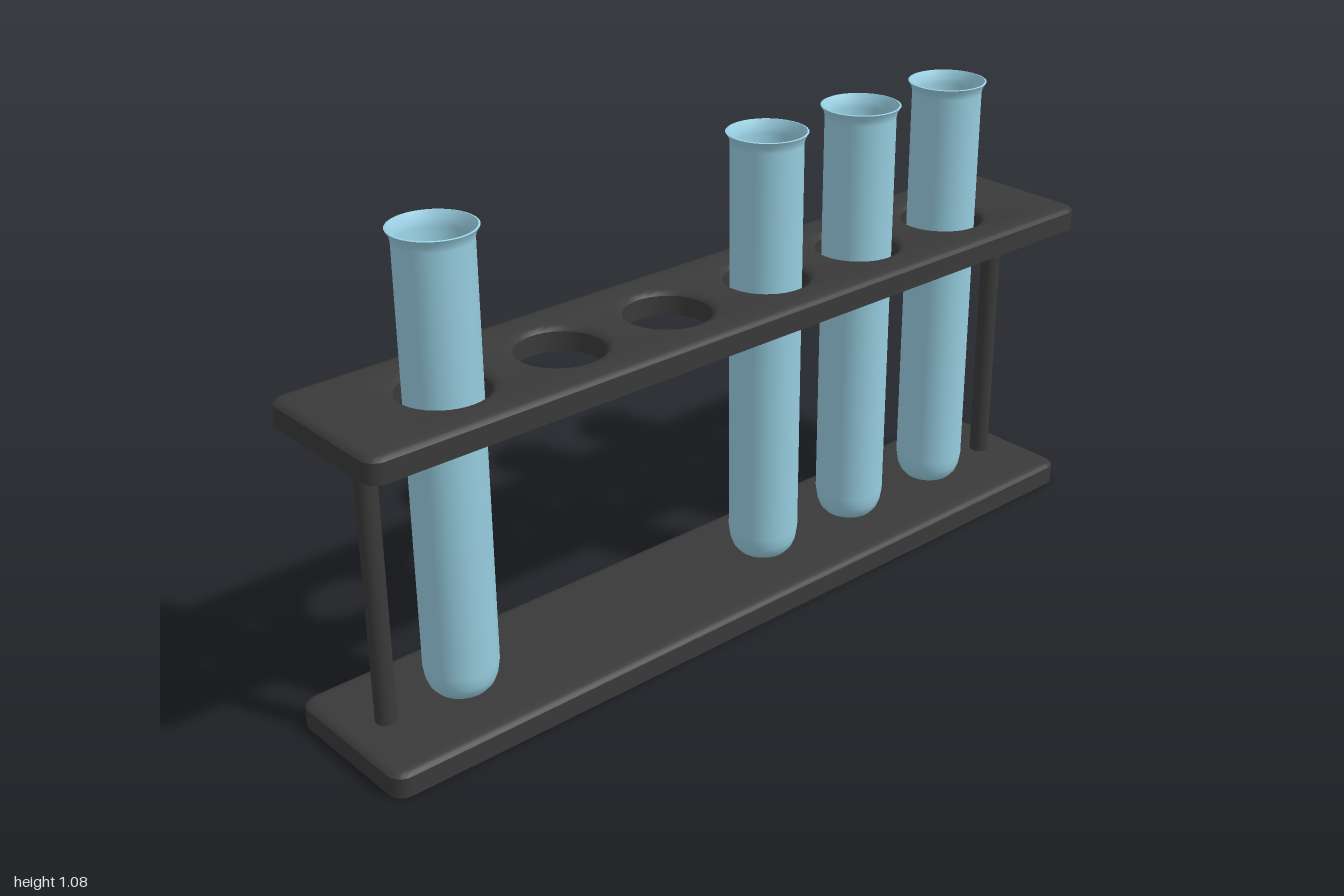
import * as THREE from 'three';
import { mergeGeometries, toCreasedNormals } from 'three/addons/utils/BufferGeometryUtils.js';

const HOLES = [-0.72, -0.435, -0.15, 0.135, 0.42, 0.705];
const FILLED = [0, 3, 4, 5];
const HOLE_Z = 0.004;

// Rounded rectangle outline, drawn counter-clockwise and shrunk by inset
function outline(inset) {
  const w = 1 - inset, d = 0.182 - inset, r = 0.034 - inset * 0.5;
  const pts = [];
  [[1, 1], [-1, 1], [-1, -1], [1, -1]].forEach(([sx, sy], q) => {
    for (let i = 0; i <= 6; i++) {
      const a = (q + i / 6) * Math.PI / 2;
      pts.push(new THREE.Vector2(sx * (w - r) + r * Math.cos(a), sy * (d - r) + r * Math.sin(a)));
    }
  });
  return pts;
}

// Hole outline, drawn clockwise and widened by inset
function holeRing(x, inset) {
  return Array.from({ length: 40 }, (_, i) => {
    const a = -i / 40 * Math.PI * 2;
    return new THREE.Vector2(x + (0.096 + inset) * Math.cos(a), -HOLE_Z + (0.096 + inset) * Math.sin(a));
  });
}

// Plate with softened upper edges: lofted walls closed by two flat caps
function plateGeometry(holes) {
  const levels = [[0, 0], [0.045, 0], [0.051, 0.005], [0.054, 0.012], [0.056, 0.022]];
  const rings = (inset) => [outline(inset), ...holes.map((x) => holeRing(x, inset))];
  const parts = [];
  const pos = [];
  for (let k = 0; k < levels.length - 1; k++) {
    const [y0, i0] = levels[k], [y1, i1] = levels[k + 1];
    const low = rings(i0), high = rings(i1);
    low.forEach((ring, n) => ring.forEach((p, i) => {
      const j = (i + 1) % ring.length;
      const a = [p.x, y0, -p.y], b = [ring[j].x, y0, -ring[j].y];
      const c = [high[n][j].x, y1, -high[n][j].y], d = [high[n][i].x, y1, -high[n][i].y];
      pos.push(...a, ...b, ...c, ...a, ...c, ...d);
    }));
  }
  const walls = new THREE.BufferGeometry();
  walls.setAttribute('position', new THREE.Float32BufferAttribute(pos, 3));
  walls.computeVertexNormals();
  parts.push(walls);
  for (const [y, inset, top] of [[0.056, 0.022, true], [0, 0, false]]) {
    const [outer, ...inner] = rings(inset);
    const shape = new THREE.Shape(outer);
    shape.holes = inner.map((r) => new THREE.Path(r));
    const cap = new THREE.ShapeGeometry(shape).toNonIndexed();
    cap.deleteAttribute('uv');
    cap.rotateX(-Math.PI / 2).translate(0, y, 0);
    if (!top) { // reverse the winding so the cap faces down
      const p = cap.attributes.position;
      for (let i = 0; i < p.count; i += 3) {
        const b = new THREE.Vector3().fromBufferAttribute(p, i + 1);
        const c = new THREE.Vector3().fromBufferAttribute(p, i + 2);
        p.setXYZ(i + 1, c.x, c.y, c.z);
        p.setXYZ(i + 2, b.x, b.y, b.z);
      }
      cap.computeVertexNormals();
    }
    parts.push(cap);
  }
  return toCreasedNormals(mergeGeometries(parts), 0.6);
}

// Glass tube: outer wall, flared lip, then inner wall
function tubeGeometry(closedInside) {
  const profile = [
    [0, 0.055], [0.046, 0.056], [0.058, 0.062], [0.069, 0.075], [0.076, 0.093], [0.08, 0.12],
    [0.08, 1.05], [0.082, 1.061], [0.09, 1.075], [0.086, 1.076], [0.077, 1.06], [0.075, 1.045],
    [0.075, 0.12],
  ];
  if (closedInside) profile.push([0.071, 0.095], [0.062, 0.077], [0.05, 0.066], [0, 0.06]);
  const geo = new THREE.LatheGeometry(profile.map(([r, y]) => new THREE.Vector2(r, y)), 40);
  return toCreasedNormals(geo, 0.7);
}

export function createModel() {
  const model = new THREE.Group();
  const rackMat = new THREE.MeshStandardMaterial({ color: 0x3a3a3a });
  const tubeMat = new THREE.MeshStandardMaterial({ color: 0x9bd3e6 });
  const add = (name, geo, mat, x, y, z) => {
    const mesh = new THREE.Mesh(geo, mat);
    mesh.name = name;
    mesh.position.set(x, y, z);
    model.add(mesh);
  };

  // Rack
  add('basePlate', plateGeometry([]), rackMat, 0, 0, 0);
  add('holePlate', plateGeometry(HOLES), rackMat, 0, 0.69, 0);
  const post = new THREE.CylinderGeometry(0.023, 0.023, 0.65, 24);
  add('leftPost', post, rackMat, 0.905, 0.375, 0);
  add('rightPost', post, rackMat, -0.905, 0.375, 0);

  // Tubes
  const openTube = tubeGeometry(false), closedTube = tubeGeometry(true);
  FILLED.forEach((i, n) => {
    add(`testTube${n + 1}`, i === 4 ? closedTube : openTube, tubeMat, HOLES[i], 0, HOLE_Z);
  });
  return model;
}
